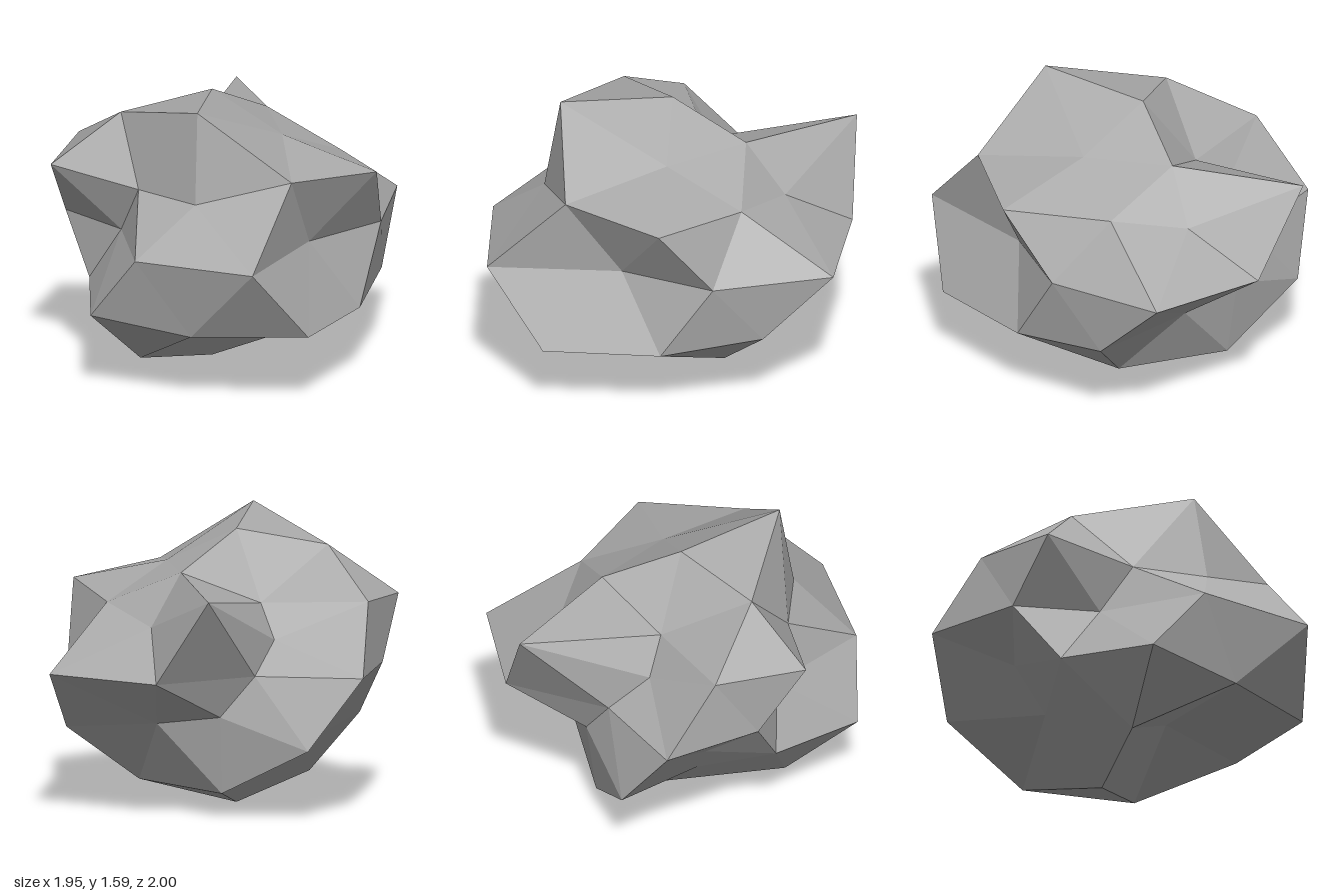
import * as THREE from 'three';

const stone = new THREE.MeshStandardMaterial({ color: 0xaaaaaa, flatShading: true });
stone.name = 'stone grey';

const CENTRE = new THREE.Vector3(-0.04, 0.81, 0);
const SQUASH = 0.75; // the boulder is flattened in height

// Rings of a once-subdivided icosahedron standing on a corner, top to bottom:
// height and radius on the unit sphere, first angle, and how far each corner is pushed out
const RINGS = {
  A: { y: 0.851, r: 0.526, start: 0, push: [0.817, 1.22, 0.98, 0.556, 0.836] },
  B: { y: 0.447, r: 0.894, start: 0, push: [1.13, 0.82, 1.02, 0.51, 0.755] },
  C: { y: 0.526, r: 0.851, start: 36, push: [1.08, 0.7, 0.96, 1.235, 0.855] },
  D: { y: 0, r: 1, start: 18, push: [0.74, 1.21, 1, 0.575, 0.82, 0.985, 0.62, 1, 1.17, 0.945] },
  E: { y: -0.447, r: 0.894, start: 36, push: [1.245, 1.1, 0.66, 0.69, 1.07] },
  F: { y: -0.526, r: 0.851, start: 0, push: [1.065, 1.095, 0.815, 1.01, 0.74] },
  G: { y: -0.851, r: 0.526, start: 36, push: [0.675, 1.1, 0.73, 1.05, 1.04] },
};

function ringPoints({ y, r, start, push }) {
  return push.map((p, i) => {
    const a = THREE.MathUtils.degToRad(start + (360 / push.length) * i);
    return new THREE.Vector3(Math.cos(a) * r, y * SQUASH, Math.sin(a) * r).multiplyScalar(p).add(CENTRE);
  });
}

function boulderGeometry() {
  const { A, B, C, D, E, F, G } = Object.fromEntries(
    Object.entries(RINGS).map(([name, ring]) => [name, ringPoints(ring)]));
  const top = new THREE.Vector3(CENTRE.x, 1.54, 0);
  const bottom = new THREE.Vector3(CENTRE.x, 0, 0);

  const corners = [];
  const face = (a, b, c) => corners.push(c, b, a);

  // Five identical sectors around the upright axis
  for (let k = 0; k < 5; k++) {
    const n = (k + 1) % 5;
    const d0 = D[2 * k], d1 = D[2 * k + 1], d2 = D[2 * n];
    // crown
    face(top, A[k], A[n]);
    face(A[k], C[k], A[n]);
    face(A[k], B[k], C[k]);
    face(A[n], C[k], B[n]);
    // belt, triangles pointing down
    face(B[k], d0, C[k]);
    face(C[k], d0, d1);
    face(C[k], d1, B[n]);
    face(d0, E[k], d1);
    // belt, triangles pointing up
    face(B[n], d1, d2);
    face(d1, E[k], F[n]);
    face(d1, F[n], d2);
    face(d2, F[n], E[n]);
    // underside
    face(E[k], G[k], F[n]);
    face(F[n], G[k], G[n]);
    face(F[n], G[n], E[n]);
    face(G[k], bottom, G[n]);
  }

  const geometry = new THREE.BufferGeometry().setFromPoints(corners);
  geometry.computeVertexNormals();
  return geometry;
}

export function createModel() {
  const model = new THREE.Group();
  model.name = 'rock';
  const boulder = new THREE.Mesh(boulderGeometry(), stone);
  boulder.name = 'boulder';
  model.add(boulder);
  return model;
}
